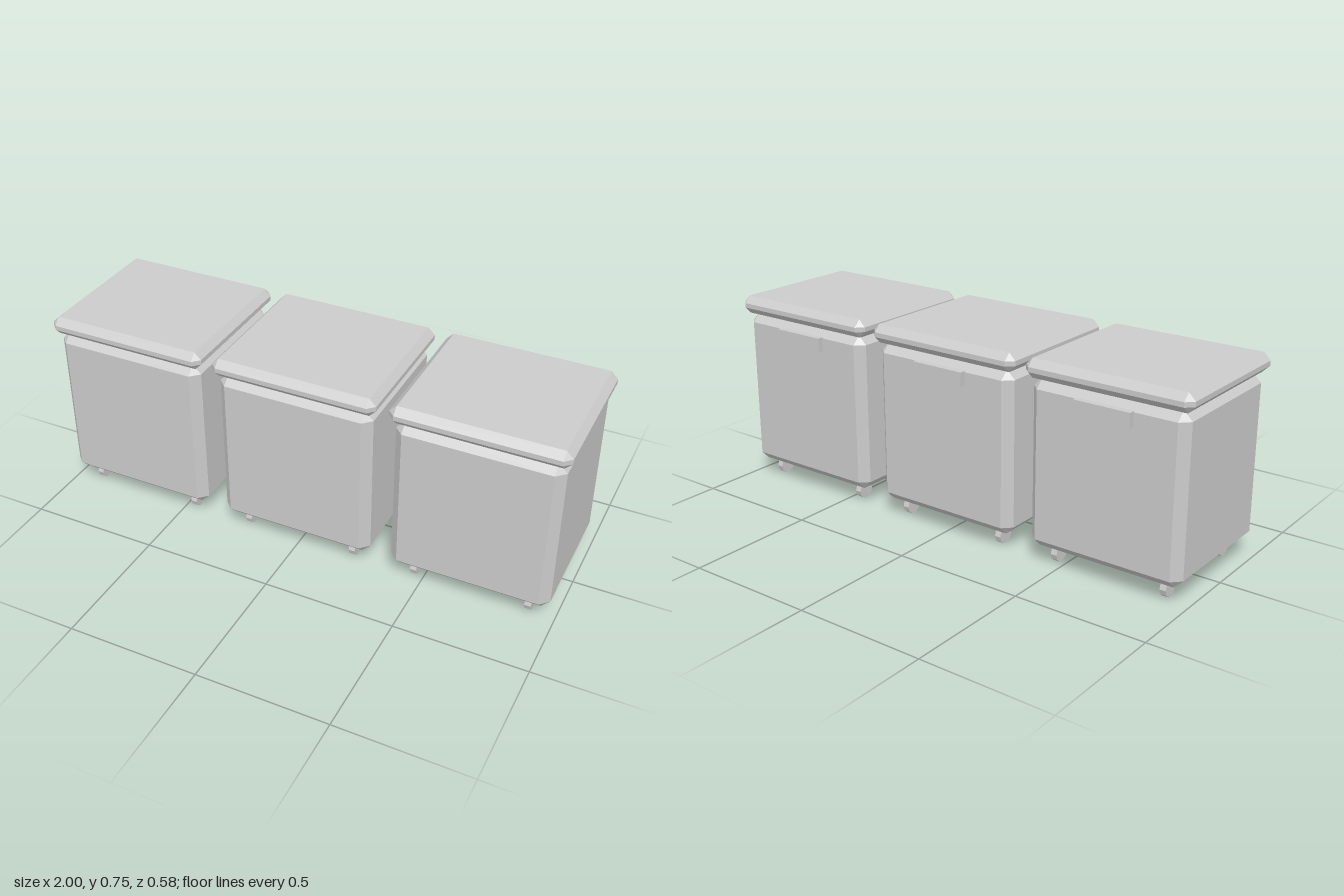
import * as THREE from 'three';
import { ConvexGeometry } from 'three/addons/geometries/ConvexGeometry.js';

const material = new THREE.MeshStandardMaterial({ color: 0xcccccc, flatShading: true });

// Box with every edge and corner cut off by c
function chamferedBox(w, h, d, c) {
  const points = [];
  for (const sx of [-1, 1]) for (const sy of [-1, 1]) for (const sz of [-1, 1]) {
    for (let face = 0; face < 3; face++) {
      const inset = [c, c, c];
      inset[face] = 0;
      points.push(new THREE.Vector3(
        sx * (w / 2 - inset[0]), sy * (h / 2 - inset[1]), sz * (d / 2 - inset[2])));
    }
  }
  return new ConvexGeometry(points);
}

function addPart(parent, name, geometry, x, y, z) {
  const mesh = new THREE.Mesh(geometry, material);
  mesh.name = name;
  mesh.position.set(x, y, z);
  parent.add(mesh);
}

export function createModel() {
  const model = new THREE.Group();
  model.name = 'wheeledBins';

  const body = chamferedBox(0.6, 0.618, 0.547, 0.033);
  const lid = chamferedBox(0.636, 0.07, 0.578, 0.026);
  const handle = new THREE.BoxGeometry(0.216, 0.054, 0.024);
  const wheel = new THREE.CylinderGeometry(0.0335, 0.0335, 0.024, 10).rotateZ(Math.PI / 2);

  // Three identical bins in a row
  [-0.682, -0.001, 0.682].forEach((x) => {
    const bin = new THREE.Group();
    bin.name = 'bin';
    bin.position.x = x;
    addPart(bin, 'body', body, 0, 0.374, 0.0035);
    addPart(bin, 'lid', lid, 0, 0.718, 0.0035);
    addPart(bin, 'backHandle', handle, 0, 0.627, -0.28);
    // Wheels at the four corners
    for (const sx of [-1, 1]) for (const sz of [-1, 1]) {
      addPart(bin, 'wheel', wheel, sx * 0.218, 0.0325, 0.0035 + sz * 0.1915);
    }
    model.add(bin);
  });
  return model;
}
